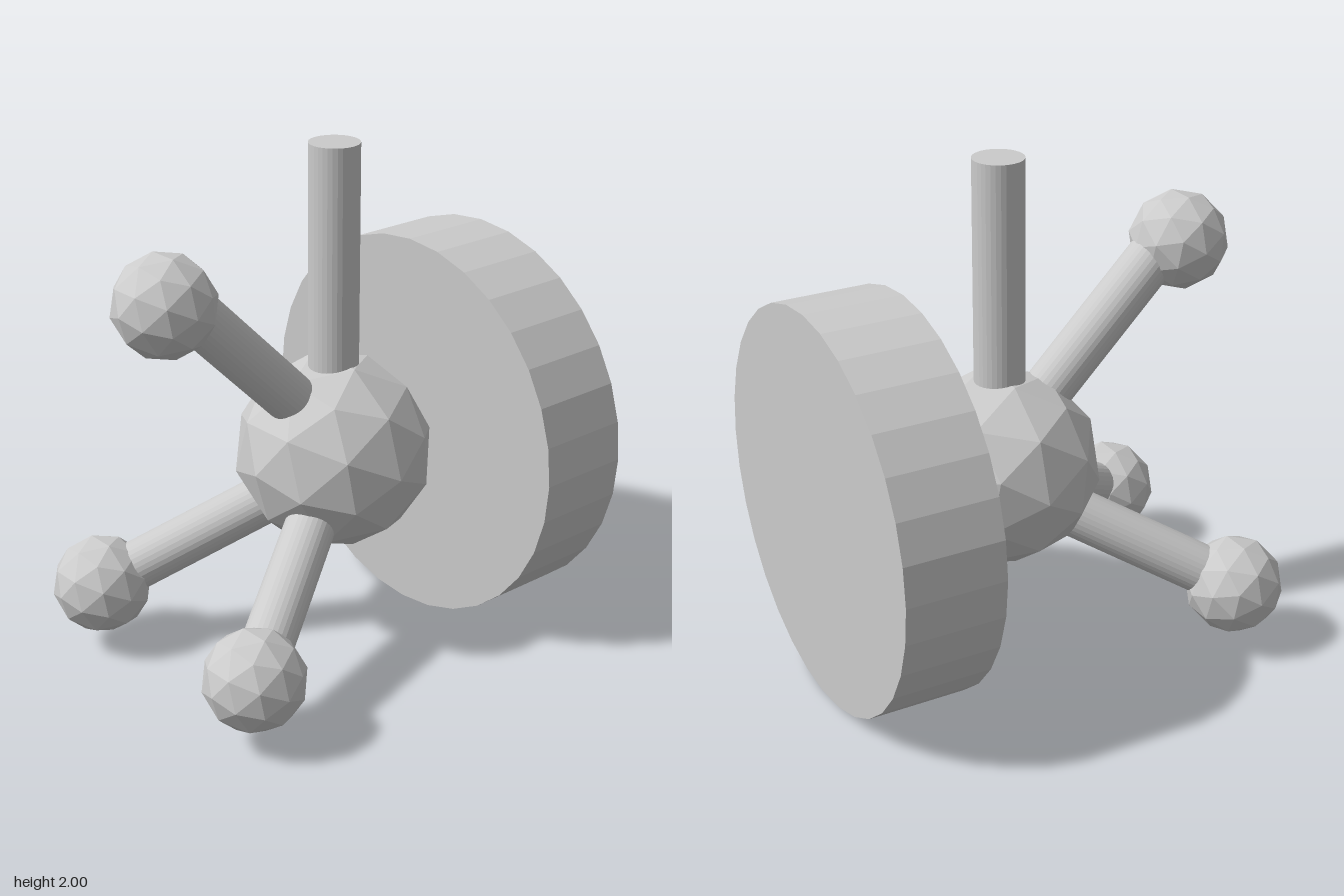
import * as THREE from 'three';

const material = new THREE.MeshStandardMaterial({ color: 0xcccccc, flatShading: true });
const ROD_RADIUS = 0.097;

function addMesh(group, name, geometry, x = 0, y = 0, z = 0) {
  const mesh = new THREE.Mesh(geometry, material);
  mesh.name = name;
  mesh.position.set(x, y, z);
  group.add(mesh);
  return mesh;
}

// Faceted ball with one icosahedron corner pointing straight along z
function ballGeometry(radius) {
  const tilt = Math.atan(2 / (1 + Math.sqrt(5)));
  return new THREE.IcosahedronGeometry(radius, 1).rotateX(tilt);
}

// Round rod between two points
function addRod(group, name, from, to) {
  const a = new THREE.Vector3(...from);
  const b = new THREE.Vector3(...to);
  const dir = b.clone().sub(a);
  const rod = addMesh(group, name, new THREE.CylinderGeometry(ROD_RADIUS, ROD_RADIUS, dir.length(), 32));
  rod.position.copy(a).add(b).multiplyScalar(0.5);
  rod.quaternion.setFromUnitVectors(new THREE.Vector3(0, 1, 0), dir.normalize());
}

export function createModel() {
  const group = new THREE.Group();
  group.name = 'ballAndRodModel';

  // Central ball and the disc behind it
  addMesh(group, 'centralBall', ballGeometry(0.386), 0, 0.78, -0.1);
  const disc = new THREE.CylinderGeometry(0.775, 0.775, 0.386, 32).rotateX(Math.PI / 2);
  addMesh(group, 'backDisc', disc, 0, 0.775, -0.68);

  // Upright rod
  addRod(group, 'uprightRod', [0, 0.78, -0.1], [0, 2, -0.1]);

  // Upper arm
  addRod(group, 'upperArm', [0, 0.84, -0.1], [0, 1.58, 0.64]);
  addMesh(group, 'upperBall', ballGeometry(0.193), 0, 1.553, 0.68);

  // Mirrored lower arms
  for (const [side, s] of [['left', 1], ['right', -1]]) {
    addRod(group, side + 'Arm', [0, 0.72, -0.1], [s * 0.473, 0.273, 0.68]);
    addMesh(group, side + 'Ball', ballGeometry(0.193), s * 0.473, 0.273, 0.68);
  }

  return group;
}
